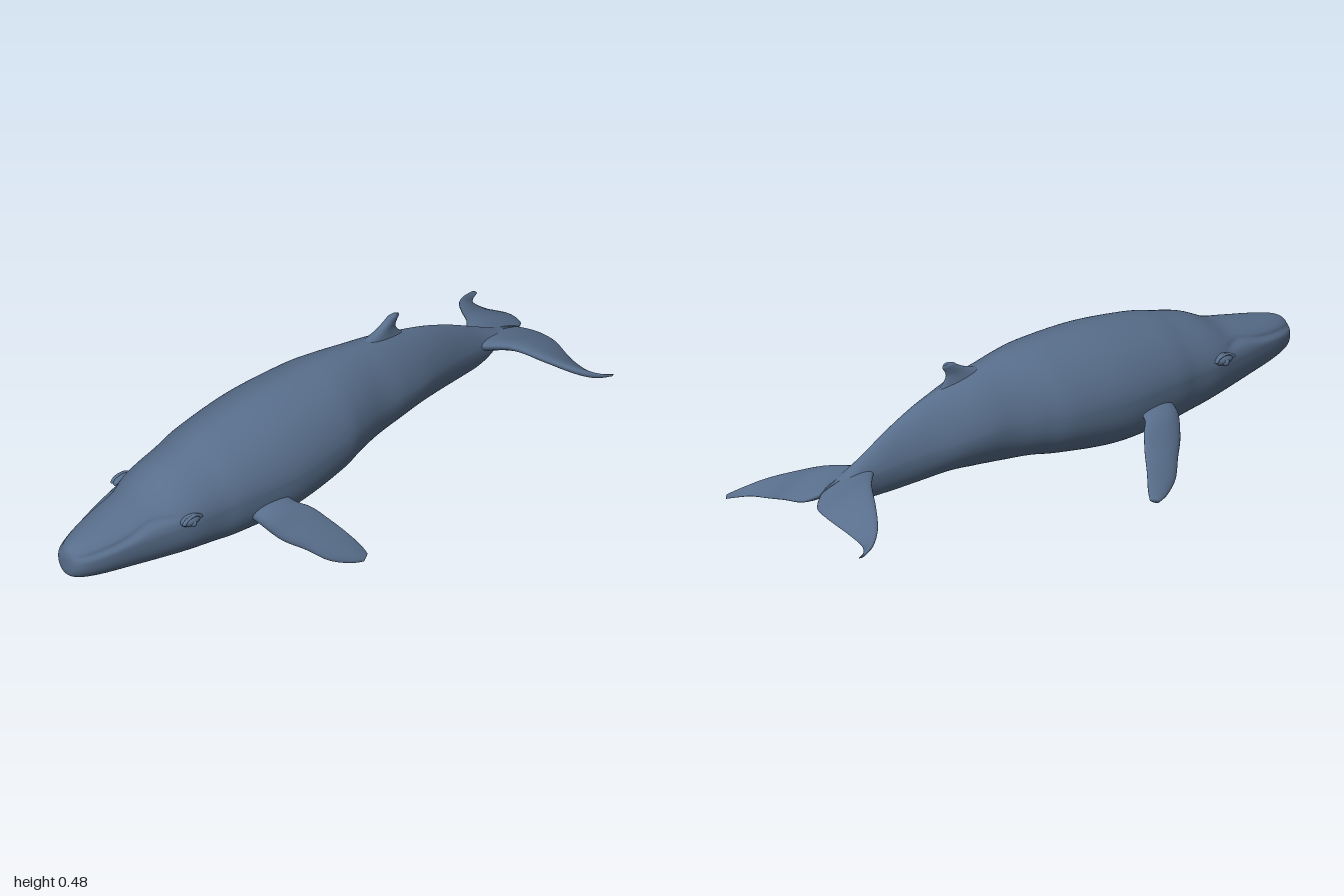
import * as THREE from 'three';

const skin = new THREE.MeshStandardMaterial({ color: 0x586e8b });
skin.name = 'slate blue skin';

// Catmull-Rom sampling of a table of cross-section rows, t from 0 to 1
function sample(rows, t) {
  const f = t * (rows.length - 1);
  const i = Math.min(Math.floor(f), rows.length - 2), u = f - i;
  const a = rows[Math.max(i - 1, 0)], b = rows[i], c = rows[i + 1], d = rows[Math.min(i + 2, rows.length - 1)];
  return b.map((_, k) => 0.5 * (2 * b[k] + (c[k] - a[k]) * u
    + (2 * a[k] - 5 * b[k] + 4 * c[k] - d[k]) * u * u
    + (3 * b[k] - a[k] - 3 * c[k] + d[k]) * u * u * u));
}

// Smooth closed skin over a list of rings, ends closed by fans, faces turned outward
function loft(rings) {
  const n = rings[0].length, pos = [], idx = [];
  rings.forEach(r => r.forEach(p => pos.push(p.x, p.y, p.z)));
  for (let i = 0; i < rings.length - 1; i++) {
    for (let j = 0; j < n; j++) {
      const a = i * n + j, b = i * n + (j + 1) % n;
      idx.push(a, b, a + n, b, b + n, a + n);
    }
  }
  [0, rings.length - 1].forEach((r, end) => {
    const c = rings[r].reduce((s, p) => s.add(p), new THREE.Vector3()).divideScalar(n);
    const ci = pos.length / 3;
    pos.push(c.x, c.y, c.z);
    for (let j = 0; j < n; j++) {
      const a = r * n + j, b = r * n + (j + 1) % n;
      if (end) idx.push(a, b, ci); else idx.push(b, a, ci);
    }
  });
  const v = i => new THREE.Vector3().fromArray(pos, idx[i] * 3);
  let volume = 0;
  for (let i = 0; i < idx.length; i += 3) volume += v(i).dot(v(i + 1).cross(v(i + 2)));
  if (volume < 0) idx.reverse();
  const g = new THREE.BufferGeometry();
  g.setAttribute('position', new THREE.Float32BufferAttribute(pos, 3));
  g.setIndex(idx);
  g.computeVertexNormals();
  return g;
}

function mesh(name, geometry) {
  const m = new THREE.Mesh(geometry, skin);
  m.name = name;
  return m;
}

// Body sections: x, top, bottom, half width, height of widest point, upper and lower roundness
const bodyRows = [
  [-1.0, 0.215, 0.175, 0.012, 0.195, 2, 2],
  [-0.992, 0.24, 0.155, 0.04, 0.2, 2, 2],
  [-0.965, 0.258, 0.142, 0.062, 0.205, 2.1, 2.2],
  [-0.9, 0.275, 0.128, 0.087, 0.215, 2.1, 2.3],
  [-0.8, 0.297, 0.114, 0.112, 0.225, 2, 2.4],
  [-0.7, 0.322, 0.102, 0.135, 0.23, 1.9, 2.5],
  [-0.6, 0.37, 0.09, 0.158, 0.235, 1.8, 2.5],
  [-0.5, 0.4, 0.08, 0.17, 0.24, 1.8, 2.6],
  [-0.4, 0.425, 0.073, 0.188, 0.245, 1.8, 2.6],
  [-0.2, 0.452, 0.071, 0.204, 0.25, 1.8, 2.5],
  [0.0, 0.458, 0.095, 0.19, 0.26, 1.8, 2.3],
  [0.1, 0.455, 0.112, 0.165, 0.265, 1.8, 2.2],
  [0.2, 0.445, 0.12, 0.138, 0.265, 1.75, 2.1],
  [0.3, 0.43, 0.13, 0.125, 0.265, 1.65, 2],
  [0.4, 0.405, 0.139, 0.105, 0.255, 1.6, 2],
  [0.5, 0.376, 0.134, 0.077, 0.245, 1.6, 2],
  [0.6, 0.335, 0.13, 0.053, 0.23, 1.6, 1.9],
  [0.7, 0.283, 0.133, 0.037, 0.215, 1.6, 1.8],
  [0.75, 0.256, 0.15, 0.033, 0.21, 1.7, 1.8],
  [0.79, 0.235, 0.18, 0.03, 0.208, 1.9, 1.9],
  [0.87, 0.205, 0.185, 0.012, 0.195, 2, 2],
];

const mouthRows = [[0.228], [0.236], [0.25], [0.272], [0.27]];

function bodyGeometry() {
  const rings = [], N = 160, R = 112;
  for (let i = 0; i <= N; i++) {
    const [x, top, bottom, w, mid, up, down] = sample(bodyRows, i / N);
    // the upper jaw sits slightly inside the lip, with a crease between them
    const m = THREE.MathUtils.clamp((x + 0.99) / 0.34, 0, 1);
    const mouthY = sample(mouthRows, m)[0];
    const fade = 1 - THREE.MathUtils.smoothstep(x, -0.72, -0.63);
    const ring = [];
    for (let j = 0; j < R; j++) {
      const a = j / R * Math.PI * 2, c = Math.cos(a), s = Math.sin(a);
      const e = 2 / (s > 0 ? up : down);
      const y = mid + (s > 0 ? top - mid : bottom - mid) * Math.abs(s) ** e;
      let z = w * Math.sign(c) * Math.abs(c) ** e;
      const crease = Math.exp(-(((y - mouthY) / 0.007) ** 2));
      const above = THREE.MathUtils.smoothstep(y, mouthY - 0.005, mouthY + 0.01);
      z *= 1 - fade * (0.08 * crease + 0.06 * above);
      ring.push(new THREE.Vector3(x, y, z));
    }
    rings.push(ring);
  }
  return loft(rings);
}

// Fin sections: leading point (x, y, z), trailing point (x, y, z), half thickness
function finGeometry(rows, span, side = 1) {
  const rings = [], N = 36, R = 28, axis = new THREE.Vector3(...span);
  for (let i = 0; i <= N; i++) {
    const r = sample(rows, i / N);
    const lead = new THREE.Vector3(r[0], r[1], r[2]), trail = new THREE.Vector3(r[3], r[4], r[5]);
    const normal = trail.clone().sub(lead).cross(axis).normalize();
    const ring = [];
    for (let j = 0; j < R; j++) {
      const a = j / R * Math.PI * 2;
      const p = lead.clone().lerp(trail, 0.5 - 0.5 * Math.cos(a));
      p.addScaledVector(normal, r[6] * Math.sin(a) * (1 + 0.3 * Math.cos(a)));
      p.z *= side;
      ring.push(p);
    }
    rings.push(ring);
  }
  return loft(rings);
}

const flipperRows = [
  [-0.4, 0.19, 0.12, -0.25, 0.215, 0.12, 0.028],
  [-0.385, 0.165, 0.2, -0.25, 0.19, 0.205, 0.026],
  [-0.345, 0.112, 0.26, -0.21, 0.165, 0.25, 0.022],
  [-0.29, 0.075, 0.312, -0.175, 0.125, 0.292, 0.018],
  [-0.24, 0.036, 0.358, -0.145, 0.085, 0.335, 0.014],
  [-0.18, 0.014, 0.39, -0.118, 0.043, 0.37, 0.01],
  [-0.135, 0.006, 0.403, -0.108, 0.016, 0.39, 0.006],
];

const flukeRows = [
  [0.66, 0.222, 0, 0.885, 0.195, 0, 0.026],
  [0.7, 0.222, 0.035, 0.93, 0.175, 0.035, 0.024],
  [0.765, 0.222, 0.1, 0.945, 0.165, 0.1, 0.018],
  [0.82, 0.195, 0.18, 0.938, 0.142, 0.18, 0.014],
  [0.875, 0.165, 0.25, 0.943, 0.127, 0.25, 0.011],
  [0.93, 0.14, 0.292, 0.965, 0.119, 0.285, 0.008],
  [0.985, 0.125, 0.312, 1.0, 0.118, 0.303, 0.004],
];

const dorsalRows = [
  [0.2, 0.4, 0, 0.44, 0.375, 0, 0.026],
  [0.23, 0.43, 0, 0.395, 0.41, 0, 0.02],
  [0.29, 0.449, 0, 0.375, 0.437, 0, 0.014],
  [0.325, 0.466, 0, 0.378, 0.455, 0, 0.012],
  [0.345, 0.479, 0, 0.388, 0.47, 0, 0.01],
  [0.366, 0.484, 0, 0.386, 0.479, 0, 0.005],
];

export function createModel() {
  const whale = new THREE.Group();
  whale.name = 'whale';
  whale.add(mesh('body', bodyGeometry()));
  whale.add(mesh('dorsalFin', finGeometry(dorsalRows, [0.3, 1, 0])));

  // paired parts on both flanks
  for (const side of [1, -1]) {
    const label = side > 0 ? 'front' : 'back';
    whale.add(mesh(label + 'Flipper', finGeometry(flipperRows, [0.5, -0.5, 0.7], side)));
    whale.add(mesh(label + 'Fluke', finGeometry(flukeRows, [0.3, -0.3, 0.9], side)));

    // bulging eye with a heavy lid above it
    const eye = new THREE.Group();
    eye.name = label + 'Eye';
    const bulge = mesh('eyeBulge', new THREE.SphereGeometry(1, 24, 16));
    bulge.scale.set(0.038, 0.018, 0.02);
    const ball = mesh('eyeball', new THREE.SphereGeometry(0.013, 20, 14));
    ball.position.set(0, -0.006, side * 0.011);
    const lid = mesh('eyelid', new THREE.TorusGeometry(0.028, 0.006, 10, 28, Math.PI));
    lid.scale.set(1.2, 0.6, 1);
    lid.position.z = side * 0.01;
    eye.add(bulge, ball, lid);
    eye.position.set(-0.62, 0.258, side * 0.15);
    whale.add(eye);
  }
  return whale;
}
